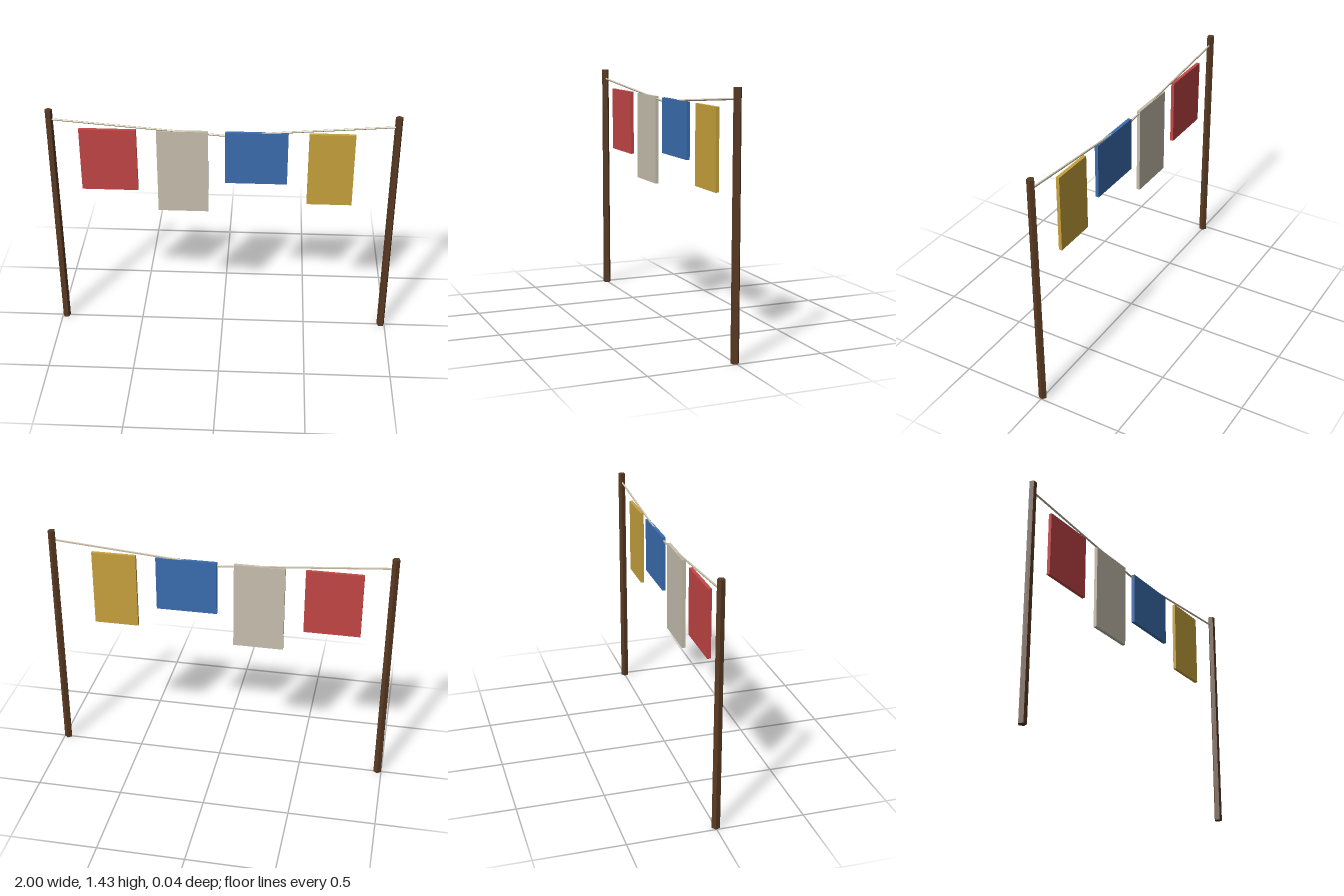
import * as THREE from 'three';

const mat = (name, color) => {
  const m = new THREE.MeshStandardMaterial({ color, flatShading: true });
  m.name = name;
  return m;
};

export function createModel() {
  const group = new THREE.Group();
  const wood = mat('dark wood', 0x5a3a22);
  const rope = mat('rope', 0xc8c0a8);
  const zMid = 0.002;

  const add = (name, geometry, material, x, y, z) => {
    const mesh = new THREE.Mesh(geometry, material);
    mesh.name = name;
    mesh.position.set(x, y, z);
    group.add(mesh);
    return mesh;
  };

  for (const side of [-1, 1]) {
    const label = side > 0 ? 'left' : 'right';

    // Five-sided post, slightly tapered, flat face to the front
    const post = add(label + 'Post', new THREE.CylinderGeometry(0.022, 0.024, 1.43, 5), wood, side * 0.977, 0.715, zMid);
    post.rotation.y = Math.PI;

    // Half of the sagging line, from the post to the middle
    const outer = new THREE.Vector3(side * 0.975, 1.372, zMid);
    const middle = new THREE.Vector3(0, 1.293, zMid);
    const dir = outer.clone().sub(middle);
    const mid = outer.clone().add(middle).multiplyScalar(0.5);
    const line = add(label + 'Line', new THREE.CylinderGeometry(0.006, 0.006, dir.length(), 5), rope, mid.x, mid.y, mid.z);
    line.quaternion.setFromUnitVectors(new THREE.Vector3(0, 1, 0), dir.normalize());
  }

  // Hanging cloths: name, colour, centre x, width, drop
  const top = 1.315;
  const cloths = [
    ['redCloth', mat('red cloth', 0xc44646), -0.652, 0.325, 0.387],
    ['creamCloth', mat('cream cloth', 0xc8c0b0), -0.229, 0.292, 0.519],
    ['blueCloth', mat('blue cloth', 0x3a6eb0), 0.192, 0.355, 0.324],
    ['yellowCloth', mat('yellow cloth', 0xc8a23c), 0.616, 0.26, 0.452],
  ];
  for (const [name, material, x, width, drop] of cloths) {
    add(name, new THREE.BoxGeometry(width, drop, 0.02), material, x, top - drop / 2, zMid);
  }

  return group;
}
